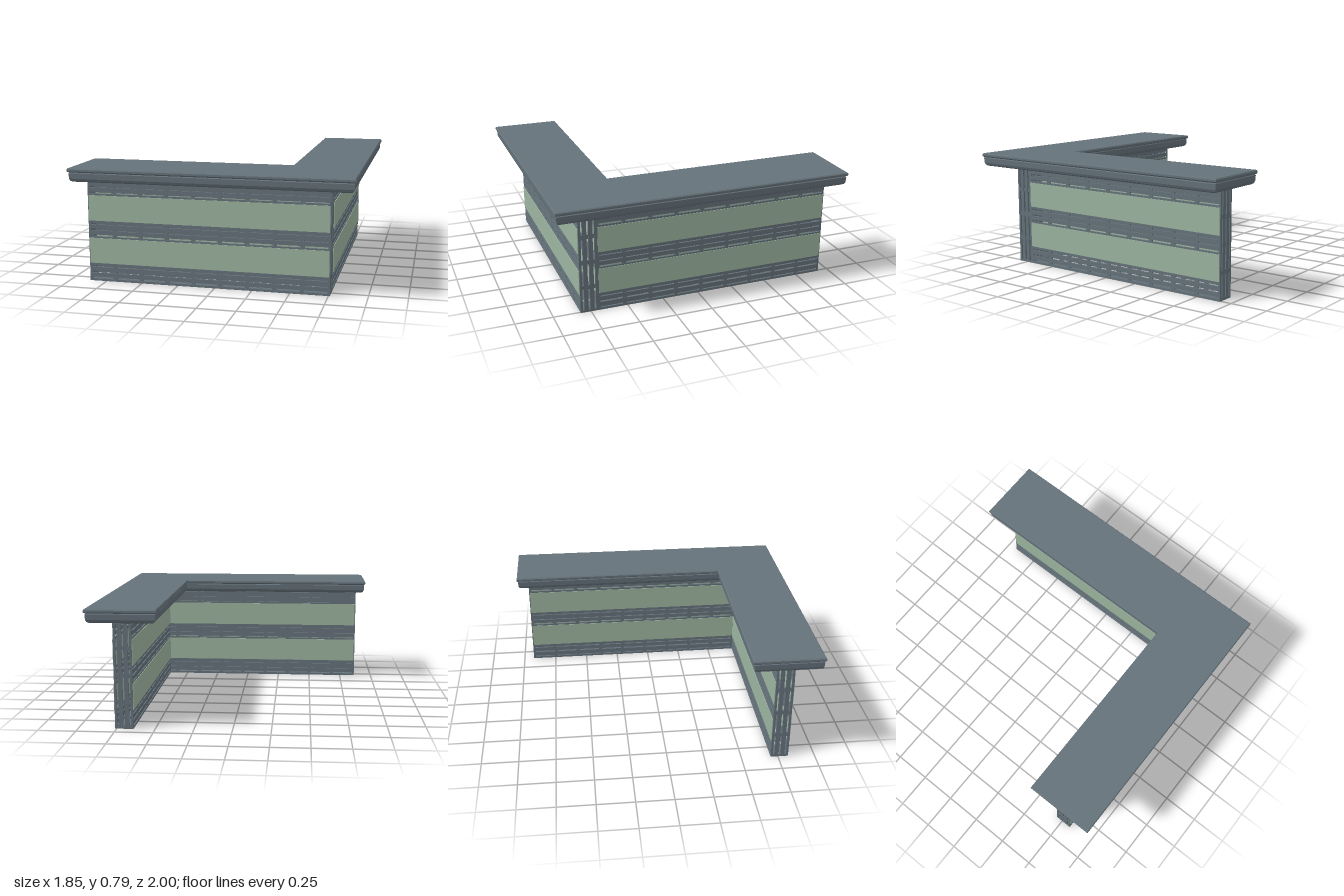
import * as THREE from 'three';
import { mergeGeometries } from 'three/addons/utils/BufferGeometryUtils.js';

const slate = new THREE.MeshStandardMaterial({ color: 0x65727a, flatShading: true });
const green = new THREE.MeshStandardMaterial({ color: 0x9cb49f, flatShading: true });

const LENGTH = 1.625, DEPTH = 0.12, HEIGHT = 0.705, BAND = 0.122;

function bar(w, h, d, x, y, z) {
  return new THREE.BoxGeometry(w, h, d).translate(x, y, z);
}

// Slatted strip along x, facing +z, with four rails and evenly spaced cross bars
function lattice(name, length, width, bays) {
  const parts = [];
  const edge = 0.015, mid = 0.028, t = 0.012;
  for (const s of [-1, 1]) {
    parts.push(bar(length, edge, t, 0, s * (width - edge) / 2, -t / 2));
    parts.push(bar(length, mid, t, 0, s * 0.02, -t / 2));
    parts.push(bar(edge, width, t, s * (length - edge) / 2, 0, -t / 2));
  }
  for (let i = 1; i < bays; i++) {
    parts.push(bar(0.028, width, 0.01, -length / 2 + (i * length) / bays, 0, -0.007));
  }
  const mesh = new THREE.Mesh(mergeGeometries(parts), slate);
  mesh.name = name;
  return mesh;
}

// Hollow wall with slatted bands and coloured panels on both faces
function wall(name) {
  const group = new THREE.Group();
  group.name = name;
  for (const s of [1, -1]) {
    const face = new THREE.Group();
    face.name = s > 0 ? 'outerFace' : 'innerFace';
    for (const y of [BAND / 2, HEIGHT / 2, HEIGHT - BAND / 2]) {
      const band = lattice('slatBand', LENGTH, BAND, 9);
      band.position.set(0, y, DEPTH / 2);
      face.add(band);
    }
    for (const y of [0.21, 0.5]) {
      const panel = new THREE.Mesh(bar(LENGTH - 0.012, 0.172, 0.016, 0, y, DEPTH / 2 - 0.004), green);
      panel.name = 'panel';
      face.add(panel);
    }
    if (s < 0) face.rotation.y = Math.PI;
    group.add(face);

    // Upright slatted strip closing each end
    const end = lattice('endLattice', HEIGHT, DEPTH, 4);
    end.rotation.set(0, s * Math.PI / 2, Math.PI / 2, 'YXZ');
    end.position.set(s * LENGTH / 2, HEIGHT / 2, 0);
    group.add(end);
  }
  const base = lattice('baseLattice', LENGTH, DEPTH, 9);
  base.rotation.x = Math.PI / 2;
  group.add(base);
  return group;
}

// L-shaped outline (x, -z), drawn in by d on every side
function outline(d) {
  return [
    [-0.927 + d, -1 + d], [0.927 - d, -1 + d], [0.927 - d, 1 - d],
    [0.465 + d, 1 - d], [0.465 + d, -0.53 - d], [-0.927 + d, -0.53 - d],
  ].map(([x, y]) => new THREE.Vector2(x, y));
}

// Countertop lofted through inset outlines from bottom to top
function countertop() {
  const levels = [
    [0.028, 0.7], [0.016, 0.708], [0.01, 0.722], [0.008, 0.757], [0.013, 0.762],
    [0.004, 0.766], [0, 0.771], [0, 0.783], [0.006, 0.79],
  ];
  const pos = [];
  const rings = levels.map(([d, y]) => outline(d).map(p => [p.x, y, -p.y]));
  const n = rings[0].length;
  for (let i = 0; i + 1 < rings.length; i++) {
    for (let j = 0; j < n; j++) {
      const k = (j + 1) % n;
      const a = rings[i][j], b = rings[i][k], c = rings[i + 1][k], e = rings[i + 1][j];
      pos.push(...a, ...b, ...c, ...a, ...c, ...e);
    }
  }
  const top = rings[rings.length - 1], bottom = rings[0];
  for (const [a, b, c] of THREE.ShapeUtils.triangulateShape(outline(0), [])) {
    pos.push(...top[a], ...top[b], ...top[c], ...bottom[a], ...bottom[c], ...bottom[b]);
  }
  const geo = new THREE.BufferGeometry();
  geo.setAttribute('position', new THREE.Float32BufferAttribute(pos, 3));
  geo.computeVertexNormals();
  const mesh = new THREE.Mesh(geo, slate);
  mesh.name = 'countertop';
  return mesh;
}

export function createModel() {
  const model = new THREE.Group();
  model.name = 'cornerCounter';

  const front = wall('frontWall');
  front.position.set(-0.0525, 0, 0.76);

  const side = wall('sideWall');
  side.rotation.y = Math.PI / 2;
  side.position.set(0.7, 0, -0.1125);

  model.add(front, side, countertop());
  return model;
}
